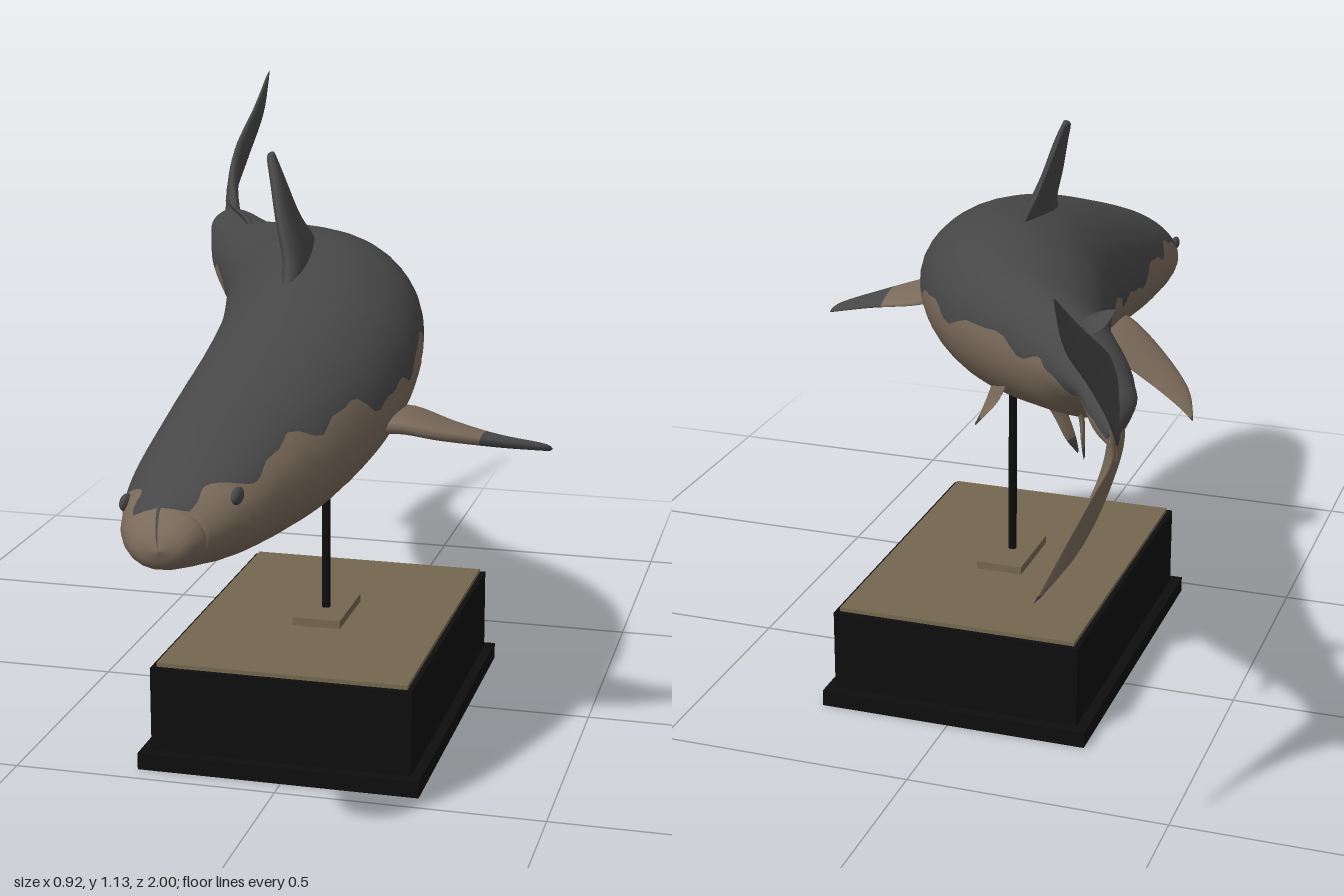
import * as THREE from 'three';

const mat = (name, color, side = THREE.DoubleSide) => {
  const m = new THREE.MeshStandardMaterial({ color, side });
  m.name = name;
  return m;
};

// Smooth curve through points, sampled evenly by control point
const curve = (pts) => new THREE.CatmullRomCurve3(pts.map((p) => new THREE.Vector3(...p)), false, 'catmullrom');

// Skin a list of closed rings; isDark(i, j) picks the material slot
function loft(rings, isDark) {
  const n = rings[0].length, faces = [[], []];
  for (let i = 0; i < rings.length - 1; i++) {
    for (let j = 0; j < n; j++) {
      const a = i * n + j, b = i * n + (j + 1) % n, c = a + n, d = b + n;
      faces[isDark(i, j) ? 0 : 1].push(a, c, b, b, c, d);
    }
  }
  const g = new THREE.BufferGeometry().setFromPoints(rings.flat());
  g.setIndex([...faces[0], ...faces[1]]);
  g.addGroup(0, faces[0].length, 0);
  g.addGroup(faces[0].length, faces[1].length, 1);
  g.computeVertexNormals();
  return g;
}

// Body stations: z, min x, max x, bottom, top, colour line height
const STATIONS = [
  [1.0, -.042, -.038, .613, .617, .617],
  [.985, -.085, .0, .585, .645, .645],
  [.95, -.115, .025, .57, .675, .672],
  [.9, -.135, .06, .56, .70, .69],
  [.8, -.155, .105, .545, .75, .72],
  [.6, -.165, .165, .54, .82, .75],
  [.4, -.17, .2, .56, .88, .74],
  [.2, -.19, .2, .59, .92, .79],
  [0, -.235, .15, .63, .935, .805],
  [-.2, -.295, .03, .665, .915, .815],
  [-.4, -.385, -.19, .72, .885, .83],
  [-.5, -.42, -.27, .77, .875, .825],
  [-.6, -.45, -.345, .81, .87, .835],
  [-.68, -.455, -.395, .8, .86, .83],
  [-.74, -.45, -.44, .81, .84, .825],
];
const ROLL = 0.15;

function bodyGeometry() {
  const sides = curve(STATIONS.map((s) => [s[0], s[1], s[2]]));
  const heights = curve(STATIONS.map((s) => [s[3], s[4], s[5]]));
  const half = 18, steps = 140, rings = [];
  for (let i = 0; i <= steps; i++) {
    const { x: z, y: x0, z: x1 } = sides.getPoint(i / steps);
    const { x: bottom, y: top, z: line } = heights.getPoint(i / steps);
    const cx = (x0 + x1) / 2, cy = (bottom + top) / 2;
    const a = Math.max((x1 - x0) / 2, .001), b = Math.max((top - bottom) / 2, .001);
    // Wavy border between the dark back and the pale belly
    const wave = (.012 * Math.sin(z * 36) + .006 * Math.sin(z * 71 + 1)) * Math.min(1, b / .08);
    const f = z > .95 ? .999 : (line + wave - cy - a * ROLL) / b;
    const t0 = Math.asin(THREE.MathUtils.clamp(f, -.9, .999));
    const ring = [];
    for (let j = 0; j < half * 2; j++) {
      const t = j < half
        ? t0 + (Math.PI - 2 * t0) * j / half
        : Math.PI - t0 + (Math.PI + 2 * t0) * (j - half) / half;
      const u = a * Math.cos(t), v = b * Math.sin(t);
      ring.push(new THREE.Vector3(cx + u - ROLL * v, cy + v + ROLL * u, z));
    }
    rings.push(ring);
  }
  // Close both ends
  for (const end of [0, steps]) {
    const c = rings[end].reduce((s, p) => s.add(p), new THREE.Vector3()).divideScalar(half * 2);
    const cap = rings[end].map(() => c.clone());
    if (end) rings.push(cap); else rings.unshift(cap);
  }
  return loft(rings, (i, j) => j < half);
}

// Fin with a lens section, swept from root to tip between two edges
function finGeometry(lead, trail, normal, thick, darkFrom, darkTo) {
  const A = curve(lead), B = curve(trail), n = new THREE.Vector3(...normal).normalize();
  const steps = 24, m = 16, rings = [];
  for (let i = 0; i <= steps; i++) {
    const s = i / steps, p = A.getPoint(s), q = B.getPoint(s), ring = [];
    const w = i === steps ? 0 : thick * (1 - .85 * s);
    for (let k = 0; k < m; k++) {
      const t = 2 * Math.PI * k / m, u = (1 - Math.cos(t)) / 2;
      ring.push(p.clone().lerp(q, u).addScaledVector(n, w * Math.sin(t) * (1.15 - .7 * u)));
    }
    rings.push(ring);
  }
  return loft(rings, (i) => i / steps >= darkFrom && i / steps < darkTo);
}

export function createModel() {
  const group = new THREE.Group();
  const dark = mat('dark grey skin', 0x474747);
  const tan = mat('tan skin', 0x7a6a5a);
  const black = mat('black stand', 0x0e0e0e);
  const plate = mat('tan plate', 0x74674f);
  const add = (name, geo, material, pos = [0, 0, 0]) => {
    const mesh = new THREE.Mesh(geo, material);
    mesh.name = name;
    mesh.position.set(...pos);
    group.add(mesh);
    return mesh;
  };
  const fin = (name, lead, trail, normal, thick, from = 0, to = 1) =>
    add(name, finGeometry(lead, trail, normal, thick, from, to), [dark, tan]);

  add('body', bodyGeometry(), [dark, tan]);

  // Eyes
  for (const [name, x, y] of [['leftEye', .055, .68], ['rightEye', -.132, .655]]) {
    add(name, new THREE.SphereGeometry(1, 16, 12), dark, [x, y, .885]).scale.set(.009, .014, .022);
  }

  // Dorsal fins
  fin('dorsalFin',
    [[-.025, .87, .33], [-.035, .93, .265], [-.06, 1.0, .225], [-.085, 1.07, .178], [-.103, 1.105, .14], [-.106, 1.112, .115]],
    [[-.045, .87, -.03], [-.055, .935, .01], [-.07, .985, .055], [-.09, 1.05, .08], [-.105, 1.1, .097], [-.106, 1.112, .115]],
    [1, .3, .1], .03);
  fin('rearDorsalFin',
    [[-.265, .86, -.32], [-.295, .89, -.36], [-.335, .915, -.39], [-.36, .925, -.41]],
    [[-.31, .86, -.44], [-.325, .885, -.445], [-.345, .9, -.43], [-.36, .925, -.415]],
    [1, .5, .3], .014);

  // Pectoral fins
  fin('leftPectoralFin',
    [[.13, .67, .47], [.2, .683, .44], [.28, .668, .415], [.37, .647, .36], [.44, .63, .31], [.46, .62, .28]],
    [[.13, .665, .23], [.2, .675, .25], [.28, .655, .265], [.37, .637, .28], [.44, .625, .27], [.46, .62, .275]],
    [.2, 1, 0], .026, .52);
  fin('rightPectoralFin',
    [[-.1, .62, .47], [-.16, .61, .44], [-.24, .565, .39], [-.31, .52, .32], [-.345, .49, .23]],
    [[-.1, .615, .23], [-.16, .6, .25], [-.24, .555, .25], [-.31, .515, .235], [-.345, .49, .225]],
    [-.5, .85, 0], .026, .93);

  // Pelvic and anal fins
  fin('rightPelvicFin',
    [[-.17, .71, -.16], [-.2, .67, -.2], [-.235, .62, -.235], [-.25, .593, -.255]],
    [[-.19, .71, -.3], [-.21, .67, -.285], [-.235, .63, -.29], [-.25, .593, -.262]],
    [1, -.5, .4], .014, .7);
  fin('leftPelvicFin',
    [[-.08, .73, -.18], [-.075, .69, -.22], [-.07, .655, -.265], [-.065, .638, -.295]],
    [[-.13, .73, -.31], [-.11, .69, -.31], [-.085, .66, -.315], [-.065, .638, -.3]],
    [1, .3, .4], .014, .7);
  fin('analFin',
    [[-.27, .76, -.36], [-.295, .72, -.395], [-.31, .69, -.43], [-.32, .665, -.455]],
    [[-.31, .76, -.46], [-.315, .73, -.455], [-.318, .695, -.465], [-.32, .665, -.46]],
    [1, 0, .5], .012, .75);

  // Tail lobes
  fin('upperTailLobe',
    [[-.39, .83, -.56], [-.4, .873, -.61], [-.43, .925, -.69], [-.445, .985, -.78], [-.435, 1.06, -.89], [-.43, 1.135, -1]],
    [[-.45, .775, -.715], [-.455, .815, -.735], [-.455, .87, -.785], [-.44, .95, -.85], [-.43, 1.04, -.945], [-.43, 1.135, -1]],
    [1, .1, -.3], .022, .13);
  fin('lowerTailLobe',
    [[-.4, .85, -.56], [-.415, .77, -.59], [-.41, .69, -.635], [-.39, .615, -.72], [-.355, .57, -.845]],
    [[-.45, .84, -.75], [-.445, .78, -.73], [-.415, .715, -.74], [-.38, .635, -.785], [-.355, .57, -.85]],
    [1, .1, .1], .022, .92);

  // Hollow stand: flange and walls as extruded frames
  const frame = (w, d, wall, h) => {
    const rect = (C, a, b) => new C([[-a, -b], [a, -b], [a, b], [-a, b]].map((p) => new THREE.Vector2(...p)));
    const shape = rect(THREE.Shape, w / 2, d / 2);
    shape.holes.push(rect(THREE.Path, w / 2 - wall, d / 2 - wall));
    return new THREE.ExtrudeGeometry(shape, { depth: h, bevelEnabled: false }).rotateX(-Math.PI / 2);
  };
  add('standFlange', frame(.535, .74, .035, .032), black, [-.008, 0, .09]);
  add('standWalls', frame(.495, .7, .02, .165), black, [-.007, .03, .09]);
  add('standTop', new THREE.BoxGeometry(.476, .014, .68), plate, [-.007, .196, .09]);
  add('rodPlate', new THREE.BoxGeometry(.094, .016, .165), plate, [-.008, .211, .09]);
  add('rod', new THREE.CylinderGeometry(.0085, .0085, .46, 12), black, [-.008, .43, .095]);

  return group;
}
